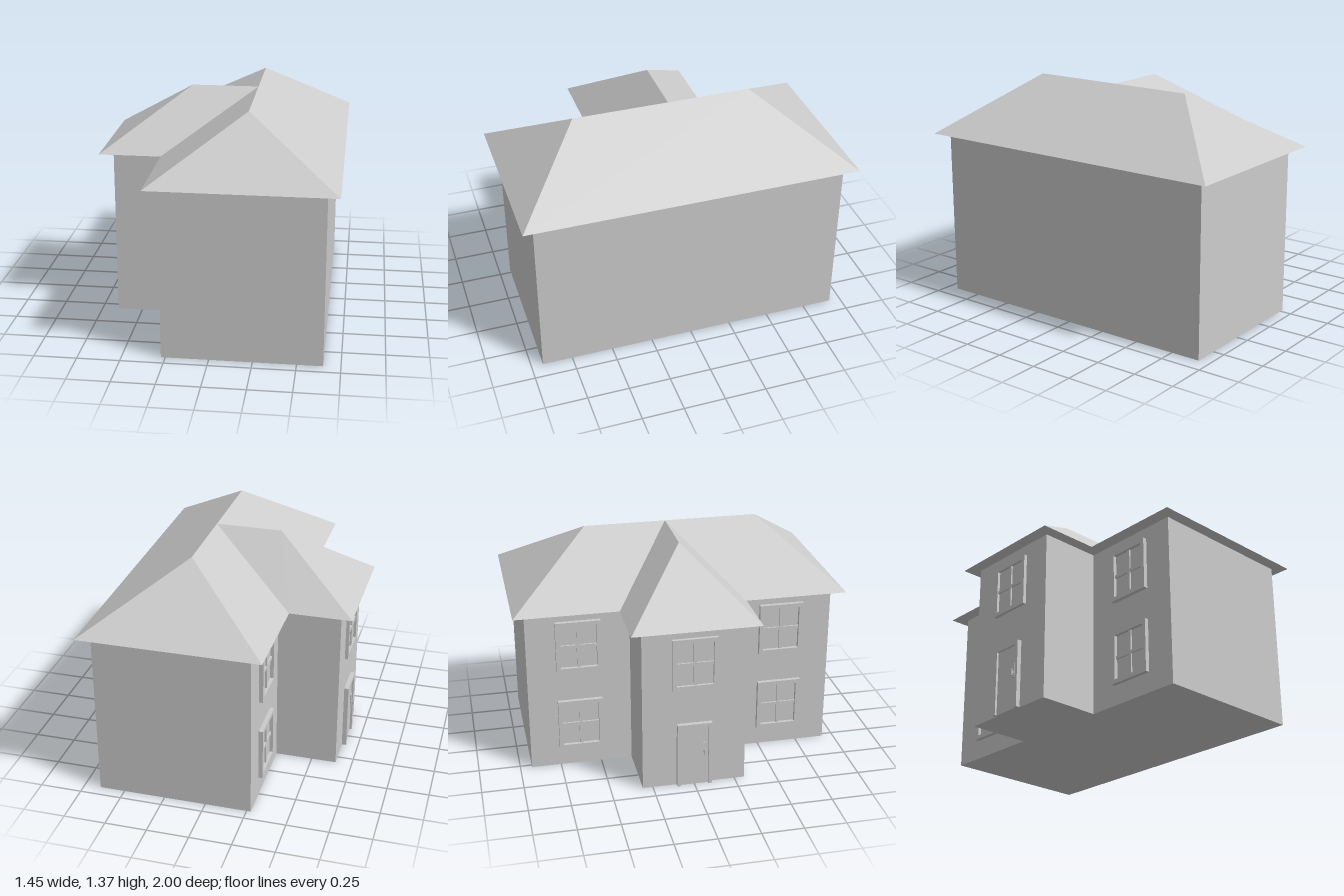
import * as THREE from 'three';

const EAVE = 1.025, RIDGE = 1.37;
const material = new THREE.MeshStandardMaterial({ color: 0xcccccc, flatShading: true });

function add(parent, name, geometry, x = 0, y = 0, z = 0) {
  const mesh = new THREE.Mesh(geometry, material);
  mesh.name = name;
  mesh.position.set(x, y, z);
  parent.add(mesh);
  return mesh;
}

function shapeOf(points) {
  return new THREE.Shape(points.map(([x, y]) => new THREE.Vector2(x, y)));
}

// T-shaped plan: a long main block with a wing on the -x side
function plan(right, inner, outer, length, wing) {
  return shapeOf([
    [right, -length], [right, length], [inner, length], [inner, wing],
    [outer, wing], [outer, -wing], [inner, -wing], [inner, -length],
  ]);
}

// Flat convex faces, each a loop of corners turned to face upwards
function facesGeometry(faces) {
  const pos = [];
  for (const face of faces) {
    const p = face.map((c) => new THREE.Vector3(...c));
    const n = p[1].clone().sub(p[0]).cross(p[2].clone().sub(p[0]));
    if (n.y < 0) p.reverse();
    for (let i = 1; i < p.length - 1; i++) {
      for (const v of [p[0], p[i], p[i + 1]]) pos.push(v.x, v.y, v.z);
    }
  }
  const g = new THREE.BufferGeometry();
  g.setAttribute('position', new THREE.Float32BufferAttribute(pos, 3));
  g.computeVertexNormals();
  return g;
}

// Rectangular rim standing on y = 0; a doorway rim is open at the bottom
function rim(w, h, depth, t, openBottom) {
  const a = w / 2, b = w / 2 - t;
  let shape;
  if (openBottom) {
    shape = shapeOf([[-a, 0], [-b, 0], [-b, h - t], [b, h - t], [b, 0], [a, 0], [a, h], [-a, h]]);
  } else {
    shape = shapeOf([[-a, 0], [a, 0], [a, h], [-a, h]]);
    shape.holes.push(shapeOf([[-b, t], [-b, h - t], [b, h - t], [b, t]]));
  }
  return new THREE.ExtrudeGeometry(shape, { depth, bevelEnabled: false });
}

// Window with four panes, local +z pointing out of the wall
function createWindow(depth) {
  const w = 0.27, h = 0.32, t = 0.025;
  const g = new THREE.Group();
  add(g, 'windowFrame', rim(w, h, depth, t, false));
  add(g, 'windowGlass', new THREE.BoxGeometry(w - 2 * t, h - 2 * t, 0.004), 0, h / 2, 0.002);
  add(g, 'verticalBar', new THREE.BoxGeometry(0.018, h - 2 * t, 0.014), 0, h / 2, 0.007);
  add(g, 'horizontalBar', new THREE.BoxGeometry(w - 2 * t, 0.018, 0.014), 0, h / 2, 0.007);
  return g;
}

function createDoor() {
  const w = 0.21, h = 0.41, t = 0.022;
  const g = new THREE.Group();
  add(g, 'doorFrame', rim(w, h, 0.027, t, true));
  add(g, 'doorLeaf', new THREE.BoxGeometry(w - 2 * t, h - t, 0.014), 0, (h - t) / 2, 0.007);
  add(g, 'handlePlate', new THREE.BoxGeometry(0.02, 0.09, 0.006), 0.06, 0.235, 0.017);
  add(g, 'handleStem', new THREE.BoxGeometry(0.012, 0.012, 0.016), 0.06, 0.22, 0.024);
  add(g, 'handleGrip', new THREE.BoxGeometry(0.012, 0.04, 0.007), 0.06, 0.22, 0.0315);
  return g;
}

export function createModel() {
  const house = new THREE.Group();
  house.name = 'house';

  // Walls
  const walls = new THREE.ExtrudeGeometry(plan(0.65, -0.275, -0.65, 0.93, 0.31),
    { depth: EAVE, bevelEnabled: false });
  add(house, 'walls', walls.rotateX(-Math.PI / 2));

  // Hipped roofs meeting in two valleys, closed below by the soffit
  const R = 0.72, I = -0.355, O = -0.725, W = 0.38, X = 0.185, HIP = -0.215;
  const front = [X, RIDGE, 0.57], back = [X, RIDGE, -0.5];
  const joint = [X, RIDGE, 0], wingHip = [HIP, RIDGE, 0];
  const e = (x, z) => [x, EAVE, z];
  add(house, 'mainRoof', facesGeometry([
    [e(R, 1), e(R, -1), back, front],
    [e(I, 1), e(R, 1), front],
    [e(R, -1), e(I, -1), back],
    [e(I, 1), front, joint, e(I, W)],
    [e(I, -1), back, joint, e(I, -W)],
  ]));
  add(house, 'wingRoof', facesGeometry([
    [e(O, W), e(I, W), joint, wingHip],
    [e(O, -W), e(I, -W), joint, wingHip],
    [e(O, -W), e(O, W), wingHip],
  ]));
  const soffit = new THREE.ShapeGeometry(plan(R, I, O, 1, W));
  add(house, 'soffit', soffit.rotateX(Math.PI / 2), 0, EAVE, 0);

  // Openings, all on the -x side
  const place = (part, name, x, y, z) => {
    part.name = name;
    part.rotation.y = -Math.PI / 2;
    part.position.set(x, y, z);
    house.add(part);
  };
  for (const z of [-0.62, 0.62]) {
    place(createWindow(0.025), 'lowerWindow', -0.275, 0.12, z);
    place(createWindow(0.025), 'upperWindow', -0.275, 0.635, z);
  }
  place(createWindow(0.02), 'wingWindow', -0.65, 0.635, 0);
  place(createDoor(), 'door', -0.65, 0, 0);

  return house;
}
